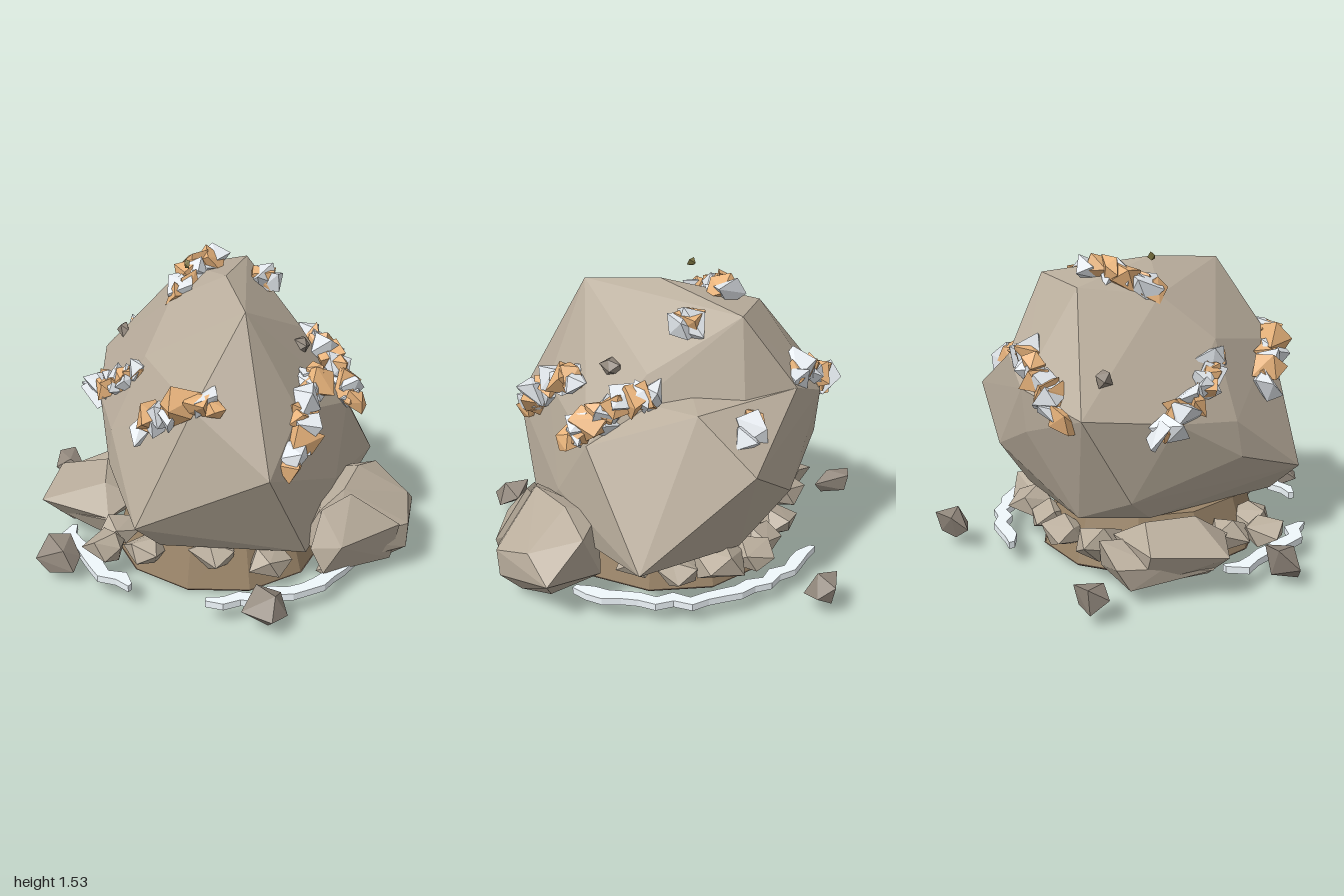
import * as THREE from 'three';
import { ConvexGeometry } from 'three/addons/geometries/ConvexGeometry.js';

const paint = (color) => new THREE.MeshStandardMaterial({ color, flatShading: true });
const V = (p) => new THREE.Vector3(...p);

export function createModel() {
  const model = new THREE.Group();
  const stone = paint(0xb9ad9c), darkStone = paint(0x90867b), earth = paint(0x9a8468);
  const soil = paint(0x866d5d), copper = paint(0xe9b47c), silver = paint(0xe2e7ec);
  const foam = paint(0xf0f8fc), moss = paint(0x7b7340);

  let seed = 17;
  const rand = (a = 0, b = 1) => {
    seed = (seed * 16807) % 2147483647;
    return a + (b - a) * (seed / 2147483647);
  };
  const add = (name, geometry, material, parent = model) => {
    const mesh = new THREE.Mesh(geometry, material);
    mesh.name = name;
    parent.add(mesh);
    return mesh;
  };
  const hull = (name, points, material) => add(name, new ConvexGeometry(points.map(V)), material);

  // Irregular faceted chunk: hull of jittered points spread around a sphere
  const chunk = (name, at, size, material, parent = model, count = 9) => {
    const points = [], turn = rand(0, 6.28);
    for (let i = 0; i < count; i++) {
      const y = 1 - (2 * (i + 0.5)) / count, r = Math.sqrt(1 - y * y), a = turn + i * 2.4;
      points.push(new THREE.Vector3(r * Math.cos(a), y, r * Math.sin(a)).multiplyScalar(rand(0.8, 1.12)));
    }
    const mesh = add(name, new ConvexGeometry(points), material, parent);
    mesh.position.set(...at);
    mesh.scale.set(...size);
    return mesh;
  };

  // Main boulder: broad lower mass and a peaked upper mass meeting in a notch
  const shoulder = [
    [0.02, 0.73, 0.8], [-0.28, 1.02, 0.56], [0.24, 0.94, 0.54], [0.62, 0.8, 0.2],
    [0.43, 1.02, -0.31], [0.42, 0.92, -0.52], [0.19, 1.04, -0.71], [-0.05, 0.94, -0.78],
    [-0.45, 0.87, -0.7], [-0.57, 0.8, -0.25], [-0.4, 1.12, 0.1], [-0.58, 0.75, 0.1],
  ];
  hull('boulderLower', [
    ...shoulder, [-0.56, 0.42, 0.53], [-0.42, 0.27, 0.46], [0.28, 0.2, 0.6], [0.5, 0.48, 0.4],
    [0.92, 0.33, -0.16], [0.6, 1.02, -0.34], [0.64, 0.77, -0.63], [-0.6, 0.57, 0.12],
    [-0.48, 0.42, -0.45], [0.3, 0.55, -0.72], [-0.05, 0.72, -0.76], [0.55, 0.24, 0.1],
    [0.4, 0.26, -0.5], [-0.2, 0.28, -0.57], [-0.42, 0.29, -0.3],
  ], stone);
  hull('boulderPeak', [
    ...shoulder, [0.01, 1.42, 0.42], [0.03, 1.465, 0.02], [0.28, 1.4, -0.46],
    [-0.05, 1.38, -0.46], [-0.22, 1.33, -0.1], [0.45, 1.13, -0.05],
  ], stone);

  // Earth base with a dark underside
  const base = add('base', new THREE.CylinderGeometry(0.47, 0.55, 0.27, 11), earth);
  base.position.y = 0.145;
  base.scale.z = 1.05;
  const underside = add('underside', new THREE.CylinderGeometry(0.555, 0.54, 0.012, 11), soil);
  underside.position.y = 0.006;
  underside.scale.z = 1.05;

  // Large side rock with a split slab on its front
  hull('sideRock', [
    [0.28, 0.25, 0.55], [0.35, 0.41, 0.58], [0.5, 0.48, 0.52], [0.66, 0.48, 0.3],
    [0.82, 0.41, 0.15], [0.99, 0.23, 0.27], [0.9, 0.34, 0.4], [0.82, 0.28, 0.6],
    [0.82, 0.14, 0.59], [0.45, 0.05, 0.35], [0.76, 0.04, 0.35], [0.77, 0.05, 0.5],
    [0.55, 0.42, 0.17], [0.6, 0.1, 0.15], [0.38, 0.14, 0.66], [0.42, 0.28, 0.68],
  ], stone);
  hull('sideRockSlab', [
    [0.29, 0.24, 0.64], [0.36, 0.42, 0.59], [0.52, 0.47, 0.56], [0.76, 0.3, 0.63],
    [0.42, 0.27, 0.72], [0.34, 0.12, 0.69], [0.74, 0.08, 0.58], [0.45, 0.06, 0.5], [0.5, 0.3, 0.4],
  ], stone);

  // Low rocks on the opposite side
  hull('lowRock', [
    [-0.91, 0.24, -0.2], [-0.75, 0.27, -0.53], [-0.52, 0.33, -0.4], [-0.58, 0.32, -0.15],
    [-0.6, 0.2, 0.02], [-0.42, 0.24, -0.1], [-0.4, 0.25, -0.5], [-0.75, 0.1, -0.2],
    [-0.65, 0.08, -0.5], [-0.4, 0.08, -0.3],
  ], stone);
  hull('lowRockLedge', [
    [-0.65, 0.2, -0.65], [-0.46, 0.27, -0.62], [-0.74, 0.19, -0.45], [-0.82, 0.15, -0.22],
    [-0.66, 0.08, -0.58], [-0.38, 0.1, -0.56], [-0.6, 0.07, -0.05], [-0.6, 0.2, 0.04],
  ], stone);

  // Small stones around the base
  [[-0.65, 0.17, 0.23, 0.115], [-0.32, 0.19, -0.54, 0.14], [-0.08, 0.16, -0.58, 0.12],
    [0.47, 0.2, -0.42, 0.14], [0.54, 0.18, -0.02, 0.12], [0.52, 0.14, -0.22, 0.13],
    [-0.14, 0.18, 0.45, 0.13], [0.1, 0.15, 0.54, 0.11], [-0.46, 0.16, 0.3, 0.12],
    [0.39, 0.07, 0.58, 0.05], [0.14, 0.16, -0.55, 0.11], [0.32, 0.18, -0.55, 0.13], [-0.55, 0.17, 0.08, 0.12],
  ].forEach(([x, y, z, r]) => chunk('baseStone', [x, y, z], [r * 1.05, r * 0.75, r], stone));

  // Loose pebbles lying outside the ring and stuck to the boulder
  hull('pebble', [[-0.14, 0.12, 0.9], [-0.04, 0.2, 0.81], [0.08, 0.14, 0.82], [0.08, 0.08, 0.93],
    [-0.02, 0.1, 1], [0.02, 0.19, 0.92], [-0.06, 0.07, 0.84], [-0.02, 0.05, 0.94]], darkStone);
  hull('pebble', [[-1, 0.11, 0.16], [-0.92, 0.2, 0.09], [-0.81, 0.19, 0.1], [-0.78, 0.11, 0.2],
    [-0.83, 0.07, 0.28], [-0.94, 0.04, 0.2], [-0.86, 0.05, 0.1], [-0.87, 0.17, 0.23]], darkStone);
  hull('pebble', [[-0.76, 0.13, -0.76], [-0.72, 0.19, -0.85], [-0.63, 0.19, -0.87], [-0.6, 0.12, -0.69],
    [-0.72, 0.06, -0.84], [-0.64, 0.06, -0.72], [-0.64, 0.09, -0.85], [-0.68, 0.18, -0.74]], darkStone);
  hull('pebble', [[0.3, 0.12, -0.92], [0.36, 0.18, -0.98], [0.5, 0.17, -1], [0.53, 0.11, -0.92],
    [0.46, 0.09, -0.84], [0.4, 0.05, -0.94], [0.48, 0.07, -0.98], [0.44, 0.2, -0.9]], darkStone);
  chunk('boulderPebble', [0.38, 1.12, 0.15], [0.055, 0.05, 0.065], darkStone);
  chunk('boulderPebble', [-0.38, 1.02, -0.53], [0.035, 0.06, 0.05], darkStone);

  // Pale broken ring: wavy flat strips swept between two angles (degrees)
  [[-86, 16], [38, 110], [138, 188]].forEach(([from, to]) => {
    const steps = Math.round((to - from) / 6), rings = [];
    for (let i = 0; i <= steps; i++) {
      const a = THREE.MathUtils.degToRad(from + ((to - from) * i) / steps);
      const r = 0.785 + rand(-0.025, 0.025), w = i === 0 || i === steps ? 0.015 : rand(0.03, 0.042);
      rings.push([a, r - w, r + w]);
    }
    const outline = rings.map(([a, , r]) => [a, r]).concat(rings.map(([a, r]) => [a, r]).reverse());
    const shape = new THREE.Shape(outline.map(([a, r]) => new THREE.Vector2(r * Math.cos(a), r * Math.sin(a))));
    const strip = add('ringSegment', new THREE.ExtrudeGeometry(shape, { depth: 0.035, bevelEnabled: false }), foam);
    strip.rotation.x = Math.PI / 2;
    strip.position.y = 0.118;
  });

  // Ore veins: alternating copper and silver chunks scattered along each path
  const veins = [
    [[0.17, 0.75, 0.69], [0.23, 0.85, 0.59], [0.31, 0.97, 0.46], [0.42, 1.04, 0.33]],
    [[0.62, 0.82, 0.28], [0.6, 0.9, 0.18], [0.57, 1.0, 0.04], [0.52, 1.07, -0.09]],
    [[-0.21, 1.06, 0.58], [-0.32, 1.03, 0.52], [-0.43, 0.95, 0.42], [-0.49, 0.87, 0.36]],
    [[-0.43, 1.05, 0.1], [-0.5, 0.97, 0.0], [-0.55, 0.87, -0.18], [-0.57, 0.76, -0.34]],
    [[0.14, 1.05, -0.69], [-0.04, 1.05, -0.71], [-0.2, 0.94, -0.73], [-0.32, 0.86, -0.72]],
    [[-0.18, 1.36, -0.1], [-0.12, 1.39, -0.16], [-0.02, 1.42, -0.27], [0.06, 1.42, -0.33]],
    [[0.46, 0.95, -0.55], [0.49, 0.9, -0.57]],
    [[0.28, 1.36, -0.22], [0.33, 1.32, -0.18]],
  ];
  veins.forEach((path) => {
    const vein = new THREE.Group();
    vein.name = 'oreVein';
    model.add(vein);
    const curve = new THREE.CatmullRomCurve3(path.map(V));
    const count = Math.max(4, Math.round(curve.getLength() / 0.034));
    for (let i = 0; i < count; i++) {
      const p = curve.getPointAt(i / (count - 1));
      const at = p.toArray().map((c) => c + rand(-0.025, 0.025));
      const size = [0, 1, 2].map(() => rand(0.05, 0.115));
      const ore = chunk('oreChunk', at, size, i % 2 ? silver : copper, vein, 7);
      ore.rotation.set(rand(0, 3), rand(0, 3), rand(0, 3));
    }
  });

  // Tiny tuft on the summit
  chunk('mossTuft', [-0.14, 1.505, -0.09], [0.018, 0.03, 0.025], moss, model, 6);

  return model;
}
